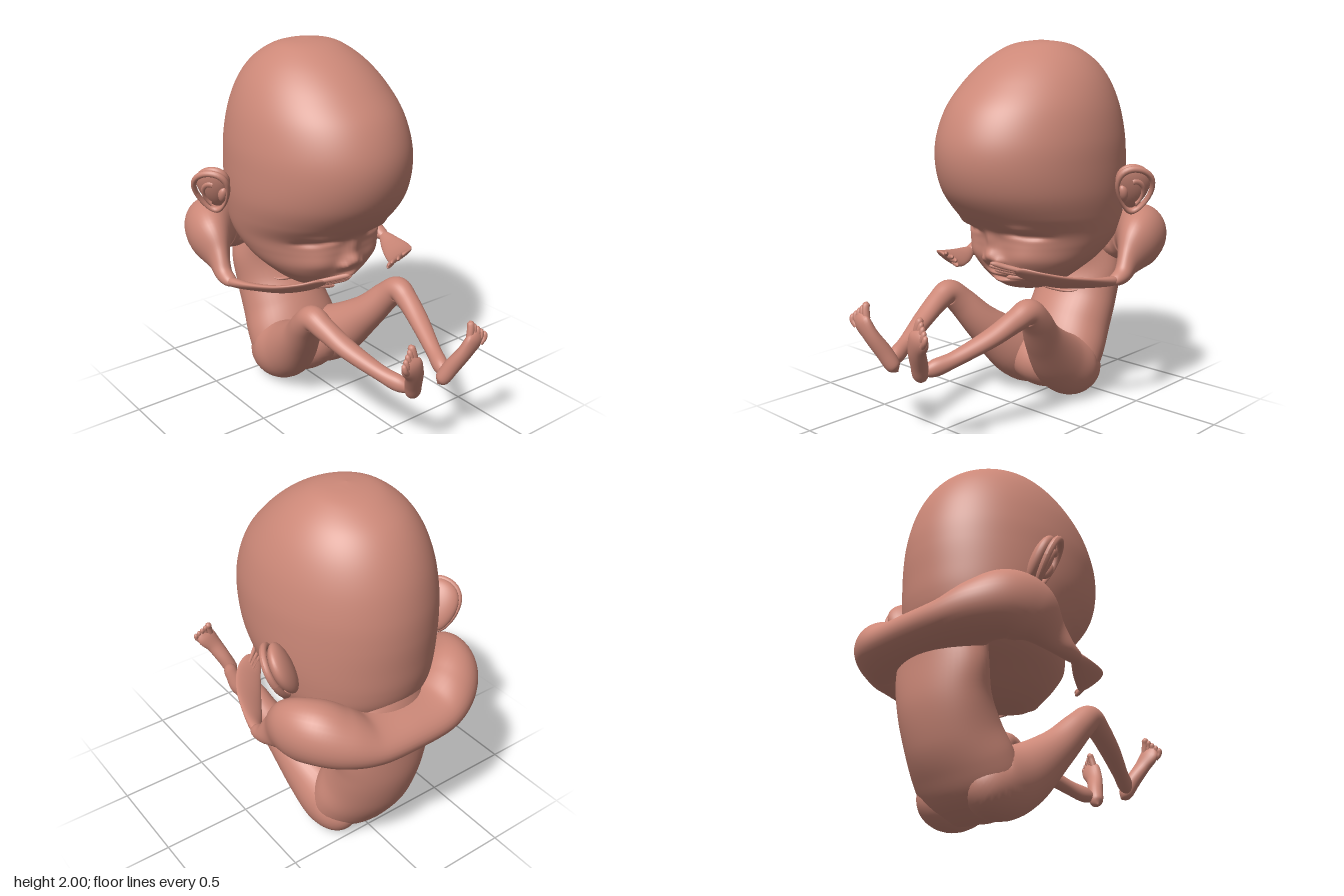
import * as THREE from 'three';
import { mergeGeometries } from 'three/addons/utils/BufferGeometryUtils.js';

const V = (x, y, z) => new THREE.Vector3(x, y, z);

// Smooth interpolation through a short table of rows, column by column
function spline(rows, u) {
  const f = Math.min(u, 0.99999) * (rows.length - 1), i = Math.floor(f), t = f - i;
  const at = k => rows[Math.max(0, Math.min(rows.length - 1, k))];
  return rows[0].map((_, c) => {
    const a = at(i - 1)[c], b = at(i)[c], d = at(i + 1)[c], e = at(i + 2)[c];
    return b + 0.5 * t * (d - a + t * (2 * a - 5 * b + 4 * d - e + t * (3 * (b - d) + e - a)));
  });
}

// Closed-around surface from fn(u, angle)
function skin(fn, along, around) {
  const pos = [], idx = [];
  for (let i = 0; i <= along; i++) {
    for (let j = 0; j < around; j++) {
      pos.push(...fn(i / along, j / around * Math.PI * 2).toArray());
      if (i === along) continue;
      const k = (j + 1) % around, a = i * around;
      idx.push(a + j, a + k, a + around + j, a + k, a + around + k, a + around + j);
    }
  }
  const g = new THREE.BufferGeometry();
  g.setAttribute('position', new THREE.Float32BufferAttribute(pos, 3));
  g.setIndex(idx);
  g.computeVertexNormals();
  return g;
}

// Sweep an ellipse along rows of [x, y, z, radius along hint, radius across]
function sweep(rows, hint, along = 48, around = 32) {
  const centre = u => V(...spline(rows, u).slice(0, 3));
  return skin((u, a) => {
    const r = spline(rows, u);
    const T = centre(Math.min(1, u + 0.02)).sub(centre(Math.max(0, u - 0.02))).normalize();
    const side = hint.clone().addScaledVector(T, -hint.dot(T)).normalize();
    const across = T.clone().cross(side);
    return V(r[0], r[1], r[2])
      .addScaledVector(side, Math.cos(a) * Math.max(0, r[3]))
      .addScaledVector(across, Math.sin(a) * Math.max(0, r[4]));
  }, along, around);
}

// Copy to the other side, keeping faces outward
function mirror(g) {
  const m = g.clone().applyMatrix4(new THREE.Matrix4().makeScale(-1, 1, 1));
  const ix = m.index.array;
  for (let i = 0; i < ix.length; i += 3) [ix[i], ix[i + 1]] = [ix[i + 1], ix[i]];
  return m;
}

function blob(x, y, z, rx, ry, rz) {
  return new THREE.SphereGeometry(1, 32, 24).scale(rx, ry, rz).translate(x, y, z);
}

// Head rows: y, half width, front z, back z
const HEAD = [
  [2.0, 0, -0.24, -0.24], [1.985, 0.13, -0.12, -0.36], [1.95, 0.21, -0.02, -0.46], [1.88, 0.295, 0.1, -0.565],
  [1.78, 0.368, 0.22, -0.645], [1.65, 0.424, 0.335, -0.705], [1.5, 0.457, 0.4, -0.74], [1.36, 0.466, 0.408, -0.75],
  [1.22, 0.462, 0.365, -0.745], [1.1, 0.442, 0.275, -0.735], [1.0, 0.415, 0.165, -0.71], [0.92, 0.385, 0.14, -0.66],
  [0.84, 0.34, 0.13, -0.57], [0.77, 0.275, 0.105, -0.46], [0.71, 0.2, 0.05, -0.36], [0.665, 0.11, -0.05, -0.26],
  [0.645, 0, -0.16, -0.16],
];

// Face relief: x, y, depth, spread in x, spread in y (both sides)
const FACE = [
  [0, 0.87, 0.05, 0.05, 0.045], [0, 0.96, 0.026, 0.035, 0.05], [0.055, 0.845, 0.026, 0.024, 0.024],
  [0.14, 1.0, -0.02, 0.05, 0.016], [0.23, 0.99, -0.025, 0.06, 0.016], [0.2, 1.035, 0.018, 0.07, 0.025],
  [0.2, 0.87, 0.025, 0.1, 0.07], [0, 0.77, 0.025, 0.065, 0.016], [0, 0.722, 0.025, 0.055, 0.016],
  [0, 0.745, -0.02, 0.085, 0.008], [0, 0.68, 0.02, 0.07, 0.025],
];

function headGeometry() {
  return skin((u, a) => {
    const [y, w, f, b] = spline(HEAD, u);
    const p = V(Math.cos(a) * Math.max(0, w), y, (f + b) / 2 + Math.sin(a) * (f - b) / 2);
    const front = Math.max(0, Math.sin(a));
    for (const [x0, y0, d, sx, sy] of FACE) {
      const dx = (Math.abs(p.x) - x0) / sx, dy = (y - y0) / sy;
      p.z += d * Math.min(1, front * 2) * Math.exp(-dx * dx - dy * dy);
    }
    return p;
  }, 150, 128);
}

// Cupped ear, broad at the top and narrow at the lobe
function earGeometry() {
  const g = mergeGeometries([
    blob(0, 0, -0.03, 0.095, 0.138, 0.05),
    new THREE.TorusGeometry(1, 0.13, 10, 40).scale(0.094, 0.135, 0.14).translate(0, 0, 0.012),
    new THREE.TorusGeometry(0.05, 0.011, 8, 20, 3.2).rotateZ(-1.2).scale(0.9, 1.5, 1).translate(0.005, -0.015, 0.018),
    blob(-0.06, -0.03, 0.005, 0.03, 0.05, 0.03),
  ]);
  const p = g.attributes.position;
  for (let i = 0; i < p.count; i++) {
    const y = p.getY(i);
    p.setX(i, p.getX(i) * (1 + 2.2 * y) + y * 0.1);
  }
  g.computeVertexNormals();
  const up = V(0.28, 0.92, 0.34).normalize(), out = V(0.56, -0.14, -0.82).normalize();
  const m = new THREE.Matrix4().makeBasis(out, up, out.clone().cross(up).normalize()).setPosition(0.515, 1.22, -0.4);
  return g.applyMatrix4(m);
}

export function createModel() {
  const model = new THREE.Group();
  const skinTone = new THREE.MeshStandardMaterial({ color: 0xcc8878 });
  skinTone.name = 'skin';
  const X = V(1, 0, 0), Y = V(0, 1, 0);
  const add = (name, g) => {
    const m = new THREE.Mesh(g, skinTone);
    m.name = name;
    model.add(m);
  };
  const pair = (name, g) => {
    add('left' + name, g);
    add('right' + name, mirror(g));
  };

  add('head', headGeometry());
  pair('Ear', earGeometry());

  // Curved trunk from neck to seat
  add('torso', sweep([
    [0, 1.08, -0.5, 0.18, 0.18], [0, 0.9, -0.57, 0.24, 0.175], [0, 0.72, -0.59, 0.28, 0.16],
    [0, 0.55, -0.565, 0.265, 0.185], [0, 0.4, -0.5, 0.265, 0.21], [0, 0.28, -0.43, 0.285, 0.21],
    [0, 0.18, -0.37, 0.285, 0.195], [0, 0.11, -0.32, 0.25, 0.14], [0, 0.07, -0.28, 0.16, 0.075], [0, 0.055, -0.26, 0, 0],
  ], X, 60, 48));
  add('pelvis', blob(0, 0.2, -0.31, 0.24, 0.17, 0.21));
  add('chestFold', sweep([
    [-0.14, 0.6, -0.42, 0, 0], [-0.08, 0.59, -0.385, 0.01, 0.015], [0.08, 0.59, -0.385, 0.01, 0.015], [0.14, 0.6, -0.42, 0, 0],
  ], Y, 20, 10));
  add('navel', blob(0, 0.3, -0.2, 0.06, 0.014, 0.04));

  // One continuous shoulder wing, raised into a lobe on each side and narrowing to the wrists
  const wing = [
    [0.2, 0.87, -0.69, 0.12, 0.19], [0.33, 0.91, -0.665, 0.148, 0.167],
    [0.43, 0.94, -0.59, 0.168, 0.148], [0.49, 0.91, -0.48, 0.16, 0.115], [0.515, 0.835, -0.37, 0.095, 0.06],
    [0.535, 0.78, -0.29, 0.052, 0.045], [0.535, 0.76, -0.22, 0.03, 0.035], [0.525, 0.755, -0.17, 0, 0],
  ];
  add('shouldersAndArms', sweep([
    ...wing.map(([x, ...rest]) => [-x, ...rest]).reverse(), [0, 0.865, -0.695, 0.115, 0.195], ...wing,
  ], Y, 150, 36));

  // Thin tilted palm with spread fingers
  const palm = sweep([
    [0.545, 0.76, -0.27, 0.015, 0.02], [0.53, 0.758, -0.2, 0.035, 0.025], [0.48, 0.76, -0.09, 0.06, 0.02],
    [0.41, 0.777, 0.05, 0.077, 0.018], [0.335, 0.808, 0.16, 0.073, 0.015], [0.265, 0.835, 0.22, 0.048, 0.013],
    [0.24, 0.843, 0.245, 0, 0],
  ], V(0.8, 0.55, 0.4), 60, 28);
  const tips = [[0.16, 0.885, 0.33], [0.135, 0.865, 0.31], [0.14, 0.84, 0.28], [0.18, 0.8, 0.23]];
  pair('Hand', mergeGeometries([palm, ...tips.map(([x, y, z], i) => sweep([
    [0.31, 0.84 - i * 0.013, 0.2 - i * 0.015, 0.01, 0.01],
    [(0.29 + x) / 2, (0.845 - i * 0.012 + y) / 2, (0.21 - i * 0.012 + z) / 2, 0.014, 0.012],
    [x + 0.015, y, z - 0.012, 0.012, 0.01], [x, y, z, 0, 0],
  ], Y, 14, 10))]));

  // Thigh, bent knee and shin
  pair('Leg', sweep([
    [0.13, 0.24, -0.52, 0, 0], [0.145, 0.195, -0.46, 0.11, 0.13], [0.155, 0.175, -0.36, 0.15, 0.174],
    [0.175, 0.25, -0.2, 0.14, 0.16], [0.23, 0.42, -0.01, 0.105, 0.105], [0.28, 0.56, 0.11, 0.082, 0.08],
    [0.295, 0.625, 0.19, 0.07, 0.07], [0.285, 0.595, 0.28, 0.06, 0.06], [0.25, 0.53, 0.42, 0.055, 0.048],
    [0.185, 0.455, 0.6, 0.042, 0.04], [0.14, 0.42, 0.71, 0.038, 0.043], [0.105, 0.4, 0.785, 0, 0],
  ], X, 90, 32));

  // Upright foot with five toes
  const foot = [sweep([
    [0.08, 0.36, 0.745, 0, 0], [0.1, 0.385, 0.757, 0.038, 0.036], [0.13, 0.46, 0.79, 0.044, 0.042],
    [0.17, 0.55, 0.838, 0.05, 0.036], [0.215, 0.625, 0.86, 0.058, 0.028], [0.235, 0.675, 0.86, 0, 0],
  ], X, 30, 24)];
  for (let i = 0; i < 5; i++) {
    const r = i ? 0.014 : 0.019;
    foot.push(sweep([
      [0.185 + i * 0.015, 0.64 - i * 0.012, 0.853 + i * 0.004, r, r],
      [0.195 + i * 0.018, 0.685 - i * 0.017, 0.848 + i * 0.007, r, r],
      [0.2 + i * 0.018, 0.71 - i * 0.017, 0.84 + i * 0.008, r * 0.9, r * 0.9],
      [0.2 + i * 0.018, 0.722 - i * 0.017, 0.836 + i * 0.008, 0, 0],
    ], X, 14, 12));
  }
  pair('Foot', mergeGeometries(foot));

  return model;
}
